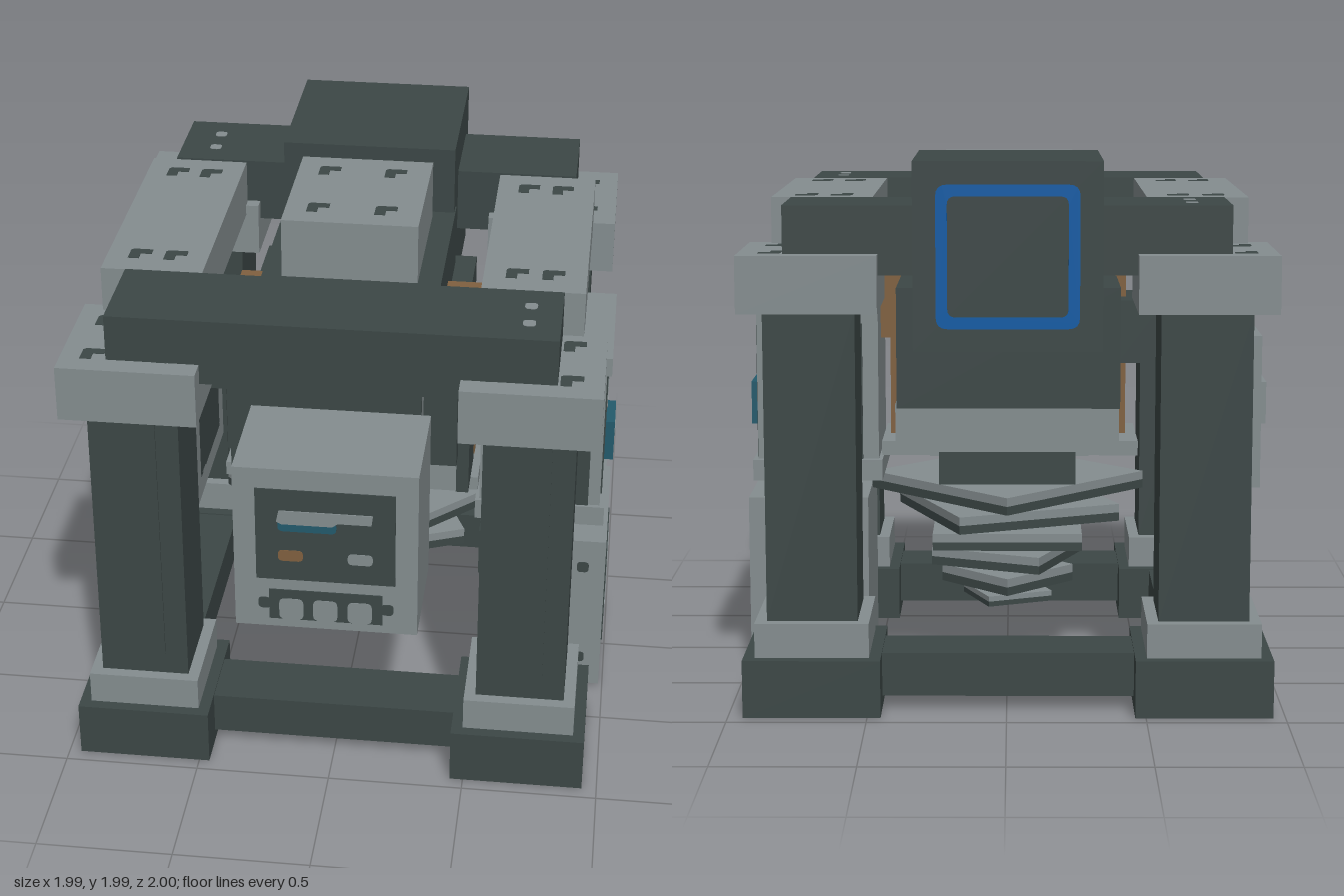
import * as THREE from 'three';

const mat = (name, color) => Object.assign(new THREE.MeshStandardMaterial({ color }), { name });

export function createModel() {
  const root = new THREE.Group();
  root.name = 'machine';
  const dark = mat('dark steel', 0x3c4746);
  const light = mat('light steel', 0x848d8f);
  const copper = mat('copper', 0x80603f);
  const teal = mat('teal', 0x235a6c);
  const blue = mat('blue', 0x0b5aa4);

  // Box given by its limits on each axis
  const box = (name, m, x0, x1, y0, y1, z0, z1) => {
    const mesh = new THREE.Mesh(new THREE.BoxGeometry(x1 - x0, y1 - y0, z1 - z0), m);
    mesh.position.set((x0 + x1) / 2, (y0 + y1) / 2, (z0 + z1) / 2);
    mesh.name = name;
    root.add(mesh);
    return mesh;
  };
  // Thin plate cut from a shape, lying in the xy plane and facing +z
  const plate = (name, m, shape, x, y, z, rx = 0, ry = 0) => {
    const geo = new THREE.ExtrudeGeometry(shape, { depth: 0.005, bevelEnabled: false, curveSegments: 4 });
    const mesh = new THREE.Mesh(geo, m);
    mesh.position.set(x, y, z);
    mesh.rotation.set(rx, ry, 0);
    mesh.name = name;
    root.add(mesh);
    return mesh;
  };
  const rounded = (w, h, r, Type = THREE.Shape) => {
    const s = new Type();
    s.moveTo(-w / 2 + r, -h / 2);
    s.lineTo(w / 2 - r, -h / 2);
    s.quadraticCurveTo(w / 2, -h / 2, w / 2, -h / 2 + r);
    s.lineTo(w / 2, h / 2 - r);
    s.quadraticCurveTo(w / 2, h / 2, w / 2 - r, h / 2);
    s.lineTo(-w / 2 + r, h / 2);
    s.quadraticCurveTo(-w / 2, h / 2, -w / 2, h / 2 - r);
    s.lineTo(-w / 2, -h / 2 + r);
    s.quadraticCurveTo(-w / 2, -h / 2, -w / 2 + r, -h / 2);
    return s;
  };
  const poly = (...p) => new THREE.Shape(p.map(([x, y]) => new THREE.Vector2(x, y)));
  const dot = rounded(0.045, 0.045, 0.016);
  const angle = poly([-0.04, -0.04], [0, -0.04], [0, 0], [0.04, 0], [0.04, 0.035], [-0.03, 0.035], [-0.04, 0.025]);
  const up = -Math.PI / 2, right = Math.PI / 2;
  const mark = (x, y, z) => plate('cornerMark', dark, angle, x, y, z, up);

  // Four corner posts
  for (const sx of [-1, 1]) for (const sz of [-1, 1]) {
    const cx = sx * 0.703 - 0.005, cz = sz * 0.705 - 0.002;
    const slab = (name, m, w, y0, y1) => box(name, m, cx - w, cx + w, y0, y1, cz - w, cz + w);
    slab('foot', dark, 0.247, 0, 0.21);
    slab('plinth', light, 0.205, 0.21, 0.335);
    slab('column', dark, 0.163, 0.335, 1.46);
    slab('capital', light, 0.247, 1.455, 1.66);
    box('columnPanel', dark, cx - 0.08, cx + 0.08, 0.42, 1.41, cz + 0.16, cz + 0.17);
    for (const dx of [-0.15, 0.15]) for (const dz of [-0.15, 0.15]) {
      plate('footRivet', light, dot, cx + dx, -0.001 + 0.004, cz + dz, right);
      mark(cx + dx * 0.9 + sx * 0.0, 1.657, cz + dz * 0.85);
    }
  }

  // Base and top frames
  for (const s of [-1, 1]) {
    const c = s * 0.7 - 0.005;
    box('baseCrossBeam', dark, -0.47, 0.46, 0.045, 0.205, c - 0.12, c + 0.12);
    box('baseSideBeam', dark, c - 0.12, c + 0.12, 0.045, 0.205, -0.47, 0.47);
    const zc = s * 0.69 - 0.008;
    box('topCrossBeam', dark, -0.79, 0.785, 1.585, 1.83, zc - 0.187, zc + 0.187);
    const xc = s * 0.685 - 0.01;
    box('topSideBeam', light, xc - 0.185, xc + 0.185, 1.62, 1.828, -0.5, 0.495);
    for (const dz of [-0.065, 0.065]) plate('beamRivet', light, dot, s * 0.665 + 0.01, 1.827, zc + dz, up);
    for (const dx of [-0.065, 0.065]) for (const z of [-0.38, 0.36]) mark(xc + dx, 1.825, z);
  }

  // Central core and crown
  box('core', dark, -0.42, 0.41, 1.04, 1.49, -0.46, 0.41);
  box('upperCore', dark, -0.33, 0.33, 1.49, 1.73, -0.4, 0.365);
  box('crown', light, -0.255, 0.245, 1.73, 1.955, -0.295, 0.285);
  for (const x of [-0.135, 0.115]) for (const z of [-0.175, 0.16]) mark(x, 1.952, z);
  box('coreFrontBlock', light, -0.295, 0.285, 1.17, 1.455, 0.41, 0.485);
  box('coreFrontPanel', dark, -0.295, 0.285, 1.17, 1.455, 0.485, 0.492);
  box('lowerCore', light, -0.42, 0.42, 0.86, 1.04, -0.37, 0.29);
  box('lowerFlange', light, -0.5, 0.48, 0.815, 0.87, -0.2, 0.2);
  box('lowerHub', dark, -0.26, 0.26, 0.71, 0.86, -0.27, 0.27);
  for (const s of [-1, 1]) {
    box('corePad', light, s * 0.375 - 0.045, s * 0.375 + 0.04, 1.485, 1.58, 0.12, 0.285);
    box('coreSidePlate', dark, s * 0.43 - 0.025, s * 0.43 + 0.022, 0.88, 1.29, 0.07, 0.33);
    box('strap', copper, s * 0.435 - 0.022, s * 0.435 + 0.018, 0.875, 1.58, -0.05, 0.03);
    box('strapTop', copper, s * 0.395 - 0.065, s * 0.395 + 0.06, 1.5, 1.58, -0.05, 0.03);
    plate('coreRivet', light, dot, s * 0.32, 1.4, 0.407);
    for (const y of [1.21, 1.4]) plate('coreSideRivet', light, dot, 0.407, y, s * 0.315, 0, right);
  }
  box('strapSleeve', copper, 0.41, 0.492, 1.25, 1.58, -0.05, 0.03);

  // Twisting stack of shrinking plates
  const stack = new THREE.Group();
  stack.name = 'twistedStack';
  root.add(stack);
  box('stackPost', light, -0.085, 0.08, 0.22, 0.8, -0.08, 0.08);
  [[0.375, 0.715], [0.33, 0.62], [0.285, 0.525], [0.225, 0.433], [0.182, 0.34], [0.133, 0.25]].forEach(([h, y], i) => {
    const t = i < 5 ? 0.033 : 0.02;
    [light, dark].forEach((m, k) => {
      const mesh = new THREE.Mesh(new THREE.BoxGeometry(2 * h, t, 2 * h), m);
      mesh.name = k ? 'stackPlateLower' : 'stackPlateUpper';
      mesh.position.y = y - t * (k + 0.5);
      mesh.rotation.y = Math.PI / 4 - i * Math.PI / 8;
      stack.add(mesh);
    });
  });

  // Rear display
  box('displayCase', dark, -0.335, 0.325, 1.33, 1.99, -0.993, -0.34);
  const ring = rounded(0.5, 0.5, 0.04);
  ring.holes.push(rounded(0.42, 0.42, 0.03, THREE.Path));
  plate('displayRing', blue, ring, -0.005, 1.66, -0.992, 0, Math.PI);

  // Front console
  box('console', light, -0.335, 0.325, 0.67, 1.33, 0.55, 0.99);
  box('consoleScreen', dark, -0.255, 0.245, 0.875, 1.25, 0.986, 0.994);
  plate('tealBar', teal, rounded(0.21, 0.05, 0.02), -0.07, 1.105, 0.991);
  plate('lightBar', light, poly([-0.18, 1.12], [-0.16, 1.11], [0.02, 1.11], [0.04, 1.125], [0.16, 1.125],
    [0.165, 1.165], [-0.17, 1.165]), 0, 0, 0.993);
  plate('copperKey', copper, rounded(0.09, 0.045, 0.018), -0.13, 0.978, 0.991);
  plate('lightKey', light, rounded(0.09, 0.045, 0.018), 0.12, 0.978, 0.991);
  box('keyPanel', dark, -0.21, 0.2, 0.705, 0.83, 0.986, 0.994);
  for (const s of [-1, 1]) plate('keyPanelEar', dark, dot, s * 0.222 - 0.005, 0.77, 0.988);
  for (const x of [-0.13, -0.007, 0.118]) plate('keyCap', light, rounded(0.088, 0.088, 0.022), x, 0.75, 0.991);

  // Side cabinet with emblem
  box('cabinet', light, 0.53, 0.985, 0.005, 0.667, -0.29, 0.287);
  box('cabinetPanel', dark, 0.98, 0.99, 0.13, 0.545, -0.168, 0.163);
  const spool = poly([-0.08, 0.2], [0.08, 0.2], [0.09, 0.25], [0.045, 0.27], [0.045, 0.43], [0.09, 0.455],
    [0.08, 0.5], [-0.08, 0.5], [-0.09, 0.455], [-0.045, 0.43], [-0.045, 0.27], [-0.09, 0.25]);
  plate('emblem', light, spool, 0.988, 0, -0.003, 0, right);
  for (const x of [0.62, 0.9]) {
    for (const y of [0.13, 0.55]) {
      plate('cabinetFrontSpot', dark, dot, x, y, 0.285);
      plate('cabinetBackSpot', dark, dot, x, y, -0.288, 0, Math.PI);
    }
    for (const z of [-0.2, 0.2]) plate('cabinetUnderSpot', dark, dot, x, 0.006, z, right);
  }

  // Upper side module
  box('moduleNeck', dark, 0.58, 0.82, 0.66, 0.74, -0.2, 0.2);
  box('moduleBase', light, 0.475, 0.968, 0.73, 0.81, -0.273, 0.267);
  box('moduleBody', light, 0.49, 0.95, 0.81, 1.38, -0.245, 0.25);
  box('moduleCap', light, 0.49, 0.968, 1.38, 1.453, -0.27, 0.267);
  box('moduleStem', dark, 0.58, 0.78, 1.45, 1.59, -0.08, 0.125);
  box('moduleFlange', light, 0.55, 0.81, 1.583, 1.625, -0.105, 0.14);
  box('modulePanel', dark, 0.945, 0.956, 0.81, 1.33, -0.203, 0.163);
  box('moduleFrontPanel', dark, 0.55, 0.905, 0.81, 1.33, 0.245, 0.256);
  box('moduleBackPanel', dark, 0.55, 0.905, 0.81, 1.33, -0.251, -0.24);
  box('tealButton', teal, 0.95, 0.99, 0.918, 1.083, -0.087, 0.083);
  plate('buttonMark', light, rounded(0.08, 0.045, 0.018), 0.988, 1.02, 0, 0, right);
  [[0.1, 1.19], [0.063, 1.225], [0.02, 1.27]].forEach(([z, y]) =>
    plate('moduleMark', light, rounded(0.055, 0.05, 0.015), 0.954, y, z, 0, right));

  // Opposite side socket: square frame, recessed panel and plug
  const frame = poly([-0.29, -0.29], [0.29, -0.29], [0.29, 0.29], [-0.29, 0.29]);
  frame.holes.push(rounded(0.4, 0.4, 0.01, THREE.Path));
  const socket = new THREE.Mesh(new THREE.ExtrudeGeometry(frame, { depth: 0.36, bevelEnabled: false }), light);
  socket.name = 'socketFrame';
  socket.position.set(-0.6, 1, -0.008);
  socket.rotation.y = -Math.PI / 2;
  root.add(socket);
  box('socketBack', dark, -0.83, -0.6, 0.79, 1.21, -0.215, 0.2);
  box('socketPlug', light, -1, -0.83, 0.92, 1.083, -0.09, 0.075);
  box('socketArm', dark, -0.6, -0.42, 1.17, 1.41, -0.175, 0.155);

  return root;
}
